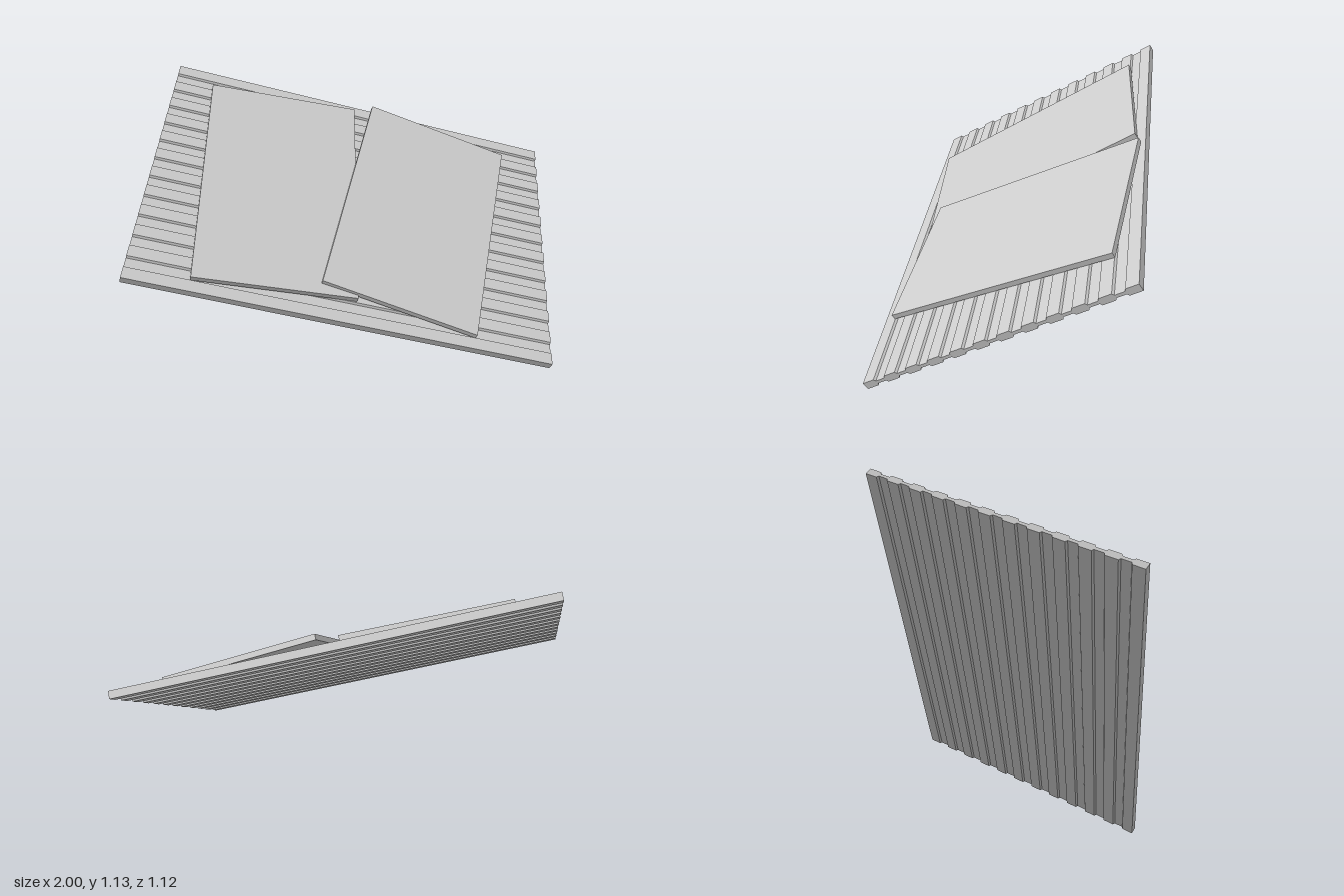
import * as THREE from 'three';

const deg = THREE.MathUtils.degToRad;

// Slatted profile: equal strips alternate between thick ribs and thin grooves on both faces
function panelProfile(length, thickness, strips, depth, bevel) {
  const w = length / strips, h = thickness / 2, x0 = -length / 2;
  const upper = [[x0, h]];
  for (let i = 1; i < strips; i += 2) {
    const a = x0 + i * w, b = a + w;
    upper.push([a, h], [a + bevel, h - depth], [b - bevel, h - depth], [b, h]);
  }
  upper.push([-x0, h]);
  const lower = upper.map(([x, y]) => [x, -y]);
  const outline = [...lower, ...upper.reverse()];
  return new THREE.Shape(outline.map(([x, y]) => new THREE.Vector2(x, y)));
}

export function createModel() {
  const model = new THREE.Group();
  const material = new THREE.MeshStandardMaterial({ color: 0xcccccc, flatShading: true });

  // Everything lies on one plane tipped toward the front and leaning to one side
  const board = new THREE.Group();
  board.name = 'tiltedBoard';
  board.position.set(0, 0.568, 0);
  board.rotation.set(deg(30), 0, deg(-15), 'ZYX');
  model.add(board);

  // Ribbed base panel, ribs running side to side
  const width = 1.89;
  const panelGeometry = new THREE.ExtrudeGeometry(
    panelProfile(1.276, 0.035, 23, 0.01, 0.006),
    { depth: width, bevelEnabled: false }
  );
  panelGeometry.translate(0, 0, -width / 2);
  panelGeometry.rotateY(Math.PI / 2);
  const panel = new THREE.Mesh(panelGeometry, material);
  panel.name = 'ribbedPanel';
  board.add(panel);

  // Two thin sheets; the left one rests its inner edge on the right one
  const sheet = (name, x, y, z, turn, tilt) => {
    const mesh = new THREE.Mesh(new THREE.BoxGeometry(0.717, 0.025, 1.125), material);
    mesh.name = name;
    mesh.position.set(x, y, z);
    mesh.rotation.set(0, deg(turn), deg(tilt), 'YXZ');
    board.add(mesh);
  };
  sheet('rightSheet', -0.362, 0.033, -0.006, 5, 0);
  sheet('leftSheet', 0.31, 0.042, -0.023, -8, -1.9);

  return model;
}
